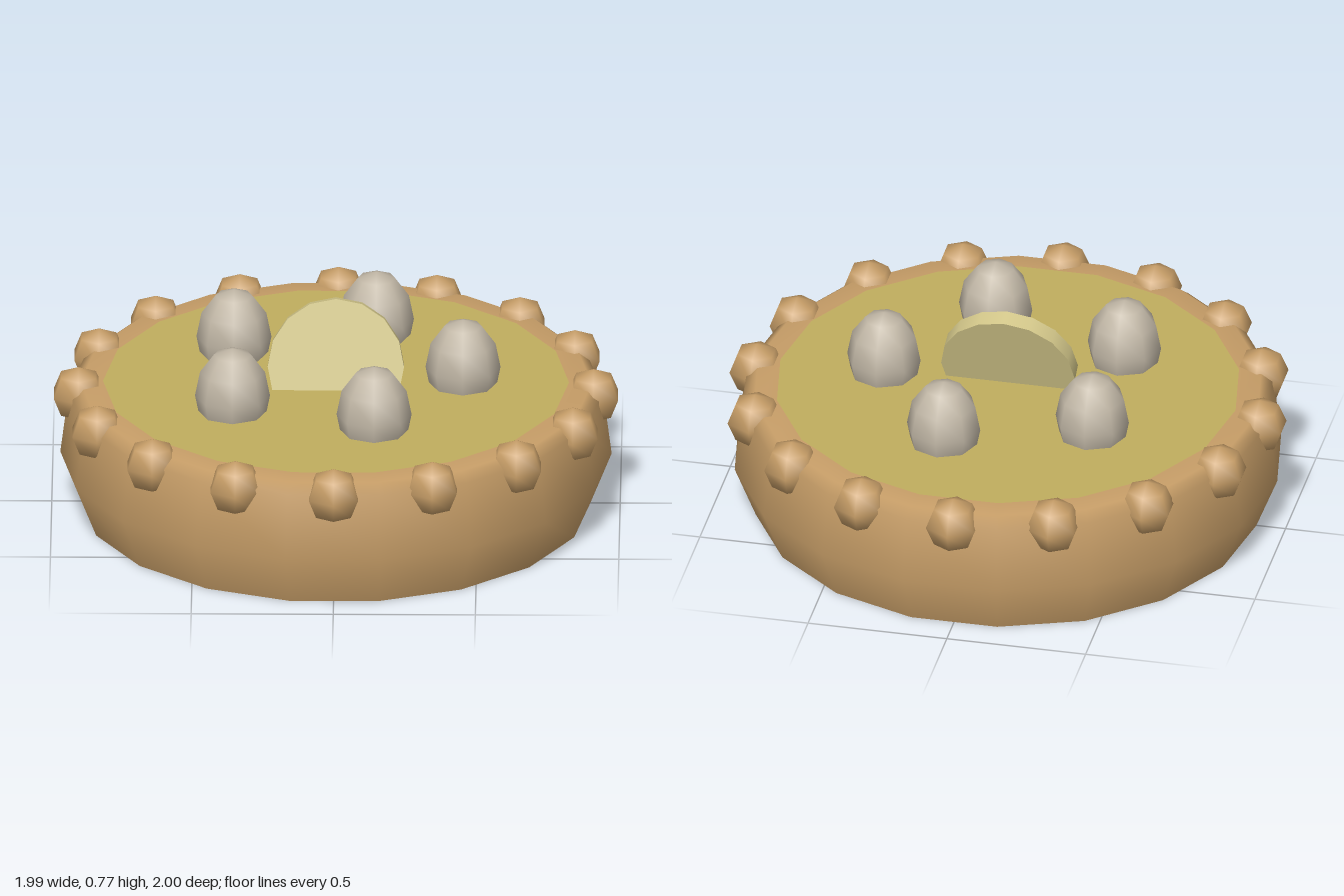
import * as THREE from 'three';

const material = (name, color) => {
  const m = new THREE.MeshStandardMaterial({ color });
  m.name = name;
  return m;
};

export function createModel() {
  const group = new THREE.Group();
  const pastry = material('pastry brown', 0xc69d67);
  const cream = material('custard yellow', 0xc0ae5e);
  const grey = material('warm grey', 0xc1b7a6);
  const pale = material('pale yellow', 0xd2c689);

  const add = (name, geometry, mat, x = 0, y = 0, z = 0) => {
    const mesh = new THREE.Mesh(geometry, mat);
    mesh.name = name;
    mesh.position.set(x, y, z);
    group.add(mesh);
    return mesh;
  };

  // Crust wall with rounded shoulder, corners of the 18-gon on the x axis
  const profile = [[0.895, 0], [0.97, 0.19], [0.94, 0.425], [0.9, 0.457], [0.8, 0.457]]
    .map(([r, y]) => new THREE.Vector2(r, y));
  add('crustWall', new THREE.LatheGeometry(profile, 18).rotateY(Math.PI / 2), pastry);
  add('crustBottom', new THREE.CircleGeometry(0.895, 18).rotateX(Math.PI / 2), pastry);

  // Flat filling
  add('filling', new THREE.CircleGeometry(0.82, 18).rotateX(-Math.PI / 2), cream, 0, 0.461);

  // Crimped lumps around the rim
  const lump = new THREE.SphereGeometry(0.1, 6, 4).rotateY(Math.PI / 6);
  for (let i = 0; i < 16; i++) {
    const a = (i / 16) * Math.PI * 2;
    add('rimLump', lump, pastry, Math.cos(a) * 0.906, 0.412, Math.sin(a) * 0.9);
  }

  // Ring of five egg-shaped toppings
  const egg = new THREE.SphereGeometry(0.132, 8, 6).scale(1, 1.36, 1);
  for (let i = 0; i < 5; i++) {
    const a = (i / 5) * Math.PI * 2;
    add('eggTopping', egg, grey, Math.cos(a) * 0.447, 0.52, Math.sin(a) * 0.447);
  }

  // Round slice leaning back in the middle
  const slice = new THREE.CylinderGeometry(0.24, 0.24, 0.06, 16).rotateX(Math.PI / 2);
  add('slice', slice, pale, 0, 0.532, 0.025).rotation.x = -0.3;

  return group;
}
